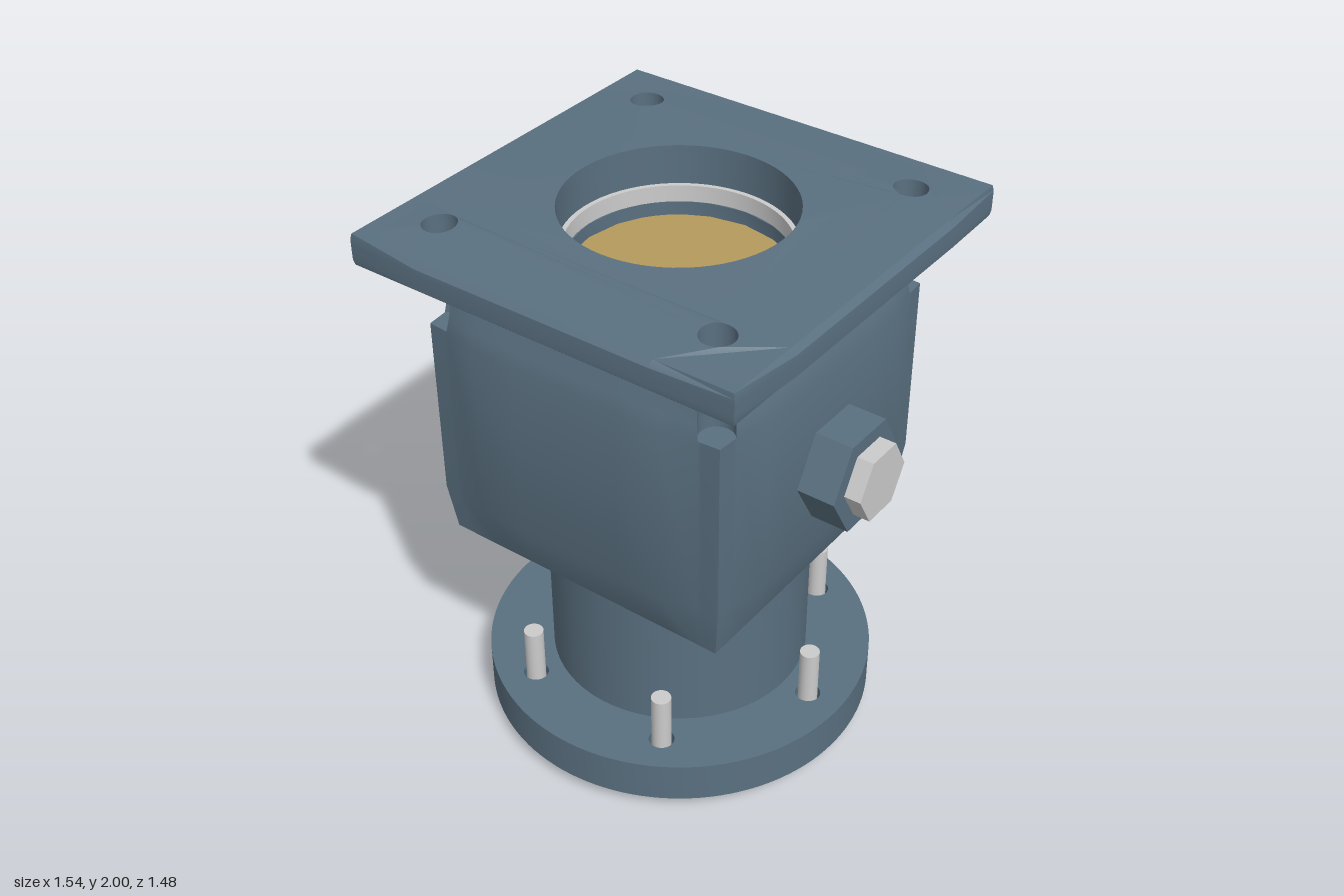
import * as THREE from 'three';
import { toCreasedNormals } from 'three/addons/utils/BufferGeometryUtils.js';

const mat = (color) => new THREE.MeshStandardMaterial({ color });
const paint = mat(0x5a7080), steel = mat(0xcccccc), brass = mat(0xb59a5c);
const AXIS = -0.03;          // x of the vertical centre line
const BOLT = 0.527;          // corner hole offset from the centre line
const HOLE_R = 0.058;

// Bulge rule: full in the middle of a face, falling to zero at its edge
const g = (t) => Math.max(0, Math.min(1, (1 - Math.abs(t)) / 0.35));

function part(name, geometry, material, x = 0, y = 0, z = 0) {
  const mesh = new THREE.Mesh(geometry, material);
  mesh.name = name;
  mesh.position.set(x, y, z);
  return mesh;
}

// Skin over closed rings that all have the same number of points
function loft(rings) {
  const n = rings[0].length, index = [];
  for (let i = 0; i < rings.length - 1; i++) {
    for (let j = 0; j < n; j++) {
      const a = i * n + j, b = i * n + (j + 1) % n;
      index.push(a, b, a + n, b, b + n, a + n);
    }
  }
  const geo = new THREE.BufferGeometry();
  geo.setAttribute('position', new THREE.Float32BufferAttribute(rings.flat(2), 3));
  geo.setIndex(index);
  return toCreasedNormals(geo, 0.5);
}

// Valve body: bulged cube, corners notched at the top for the bolts
const BODY_Y = 1.304, BODY_H = 0.506;

function bodyOutline(Y, notched) {
  const gy = g(Y), edge = 0.547 + 0.021 * gy;
  const half = (t) => edge + 0.035 * gy * g(t / 0.56);
  const face = edge + 0.006 * gy;
  const a0 = Math.asin((face - BOLT) / HOLE_R);
  const xs = BOLT - HOLE_R * Math.cos(a0);
  const quarter = [0, 0.2, 0.364].map((x) => [x, half(x)]);
  const K = 12;
  for (let k = 0; k <= K; k++) {
    const s = k / K;
    if (notched) {
      const a = Math.PI - a0 + s * (Math.PI / 2 + 2 * a0);
      quarter.push([BOLT + HOLE_R * Math.cos(a), BOLT + HOLE_R * Math.sin(a)]);
    } else {
      const along = (u) => THREE.MathUtils.lerp(xs, edge, Math.min(1, u));
      const off = (u) => THREE.MathUtils.lerp(face, edge, Math.min(1, u));
      quarter.push(s <= 0.5 ? [along(2 * s), off(2 * s)] : [off(2 - 2 * s), along(2 - 2 * s)]);
    }
  }
  [0.364, 0.2].forEach((z) => quarter.push([half(z), z]));
  const ring = [];
  for (let q = 0; q < 4; q++) {
    for (const [x, z] of quarter) {
      ring.push([[x, z], [z, -x], [-x, -z], [-z, x]][q]);
    }
  }
  return ring;
}

function bodyGeometry() {
  const level = (Y, notched) =>
    bodyOutline(Y, notched).map(([x, z]) => [x, BODY_Y + BODY_H * Y, z]);
  const circle = (ring, r) => ring.map(([x, z]) => {
    const l = Math.hypot(x, z);
    return [x * r / l, z * r / l];
  });
  // Domed end face, from the outline (s = 0) to a round opening (s = 1)
  const cap = (sign, s, r) => {
    const out = bodyOutline(sign, sign > 0), inner = circle(out, r);
    return out.map(([x, z], i) => {
      const px = x + (inner[i][0] - x) * s, pz = z + (inner[i][1] - z) * s;
      const dome = 0.044 * Math.min(g(px / 0.547), g(pz / 0.547));
      return [px, BODY_Y + sign * (BODY_H + dome), pz];
    });
  };
  const flat = (r, y) => circle(bodyOutline(1, true), r).map(([x, z]) => [x, y, z]);
  const steps = [0.25, 0.5, 0.75, 1];
  return loft([
    ...[...steps].reverse().map((s) => cap(-1, s, 0.46)),
    level(-1, false), level(-0.65, false), level(0.65, false),
    ...[0.65, 0.75, 0.85, 0.93, 1].map((Y) => level(Y, true)),
    ...steps.map((s) => cap(1, s, 0.485)),
    flat(0.485, 1.8), flat(0.37, 1.8), flat(0.37, 1.74),
  ]);
}

function addHole(shape, x, y, r, n = 24) {
  const pts = [];
  for (let i = 0; i < n; i++) {
    const a = -i / n * Math.PI * 2;
    pts.push(new THREE.Vector2(x + r * Math.cos(a), y + r * Math.sin(a)));
  }
  shape.holes.push(new THREE.Path(pts));
}

// Square top plate with domed faces and rounded rim
function plateGeometry() {
  const w = 0.717, m = 0.44;
  const side = [[w, -w], [w, -m], [w, 0], [w, m]];
  const outline = [];
  for (let q = 0; q < 4; q++) {
    for (const [x, y] of side) {
      outline.push(new THREE.Vector2(...[[x, y], [-y, x], [-x, -y], [y, -x]][q]));
    }
  }
  const shape = new THREE.Shape(outline);
  addHole(shape, 0, 0, 0.387, 64);
  for (const sx of [-1, 1]) for (const sy of [-1, 1]) addHole(shape, sx * BOLT, sy * BOLT, HOLE_R);
  const geo = new THREE.ExtrudeGeometry(shape, { depth: 2, steps: 6, bevelEnabled: false });
  geo.translate(0, 0, -1).rotateX(-Math.PI / 2);
  const p = geo.attributes.position;
  for (let i = 0; i < p.count; i++) {
    const x = p.getX(i), s = p.getY(i), z = p.getZ(i);
    const push = (v, t) => Math.abs(v) > w - 0.001
      ? Math.sign(v) * (w + g(s) * (0.004 + 0.017 * g(t / w))) : v;
    p.setXYZ(i, push(x, z), s * (0.055 + 0.02 * Math.min(g(x / w), g(z / w))), push(z, x));
  }
  return toCreasedNormals(geo, 0.5);
}

const lathe = (pts, n = 64) => toCreasedNormals(
  new THREE.LatheGeometry(pts.map(([x, y]) => new THREE.Vector2(x, y)), n), 0.5);

export function createModel() {
  const model = new THREE.Group();
  model.name = 'flangedValve';

  // Bottom flange with six bolt holes
  const bolts = [];
  for (let i = 0; i < 6; i++) {
    const a = i * Math.PI / 3;
    bolts.push([0.567 * Math.cos(a), 0.567 * Math.sin(a)]);
  }
  const disc = new THREE.Shape().absarc(0, 0, 0.7, 0, Math.PI * 2);
  addHole(disc, 0, 0, 0.33, 64);
  bolts.forEach(([x, z]) => addHole(disc, x, z, 0.045));
  const flange = new THREE.ExtrudeGeometry(disc, { depth: 0.155, bevelEnabled: false, curveSegments: 64 });
  flange.rotateX(-Math.PI / 2);
  model.add(part('bottomFlange', toCreasedNormals(flange, 0.5), paint, AXIS, 0.05));

  // Neck and the bore inside it
  model.add(part('neck', new THREE.CylinderGeometry(0.467, 0.467, 0.62, 64, 1, true), paint, AXIS, 0.5));
  model.add(part('bore', lathe([[0.33, 1.74], [0.33, 0.2]]), paint, AXIS));

  // Flange bolts with washer and hollow hexagon head
  for (const [x, z] of bolts) {
    const bolt = new THREE.Group();
    bolt.name = 'flangeBolt';
    bolt.position.set(AXIS + x, 0, z);
    bolt.add(part('boltShaft', new THREE.CylinderGeometry(0.035, 0.035, 0.37, 20), steel, 0, 0.22));
    bolt.add(part('washer', new THREE.CylinderGeometry(0.085, 0.085, 0.014, 28), steel, 0, 0.043));
    bolt.add(part('boltHead',
      lathe([[0, 0.018], [0.03, 0.018], [0.03, 0], [0.05, 0], [0.066, 0.01], [0.066, 0.038]], 6), steel));
    model.add(bolt);
  }

  // Body, gasket, closing disc and top plate
  model.add(part('body', bodyGeometry(), paint, AXIS));
  model.add(part('gasket', lathe(
    [[0.37, 1.8], [0.484, 1.8], [0.484, 1.86], [0.37, 1.86], [0.37, 1.8]]), steel, AXIS));
  model.add(part('closingDisc', new THREE.CylinderGeometry(0.372, 0.372, 0.03, 64), brass, AXIS, 1.735));
  model.add(part('topPlate', plateGeometry(), paint, AXIS, 1.925));

  // Hexagonal side plug
  const hex = (r, length) => new THREE.CylinderGeometry(r, r, length, 6).rotateZ(-Math.PI / 2);
  model.add(part('plugBoss', toCreasedNormals(hex(0.193, 0.17), 0.5), paint, 0.625, 1.263));
  model.add(part('plug', toCreasedNormals(hex(0.133, 0.08), 0.5), steel, 0.73, 1.263));
  return model;
}
